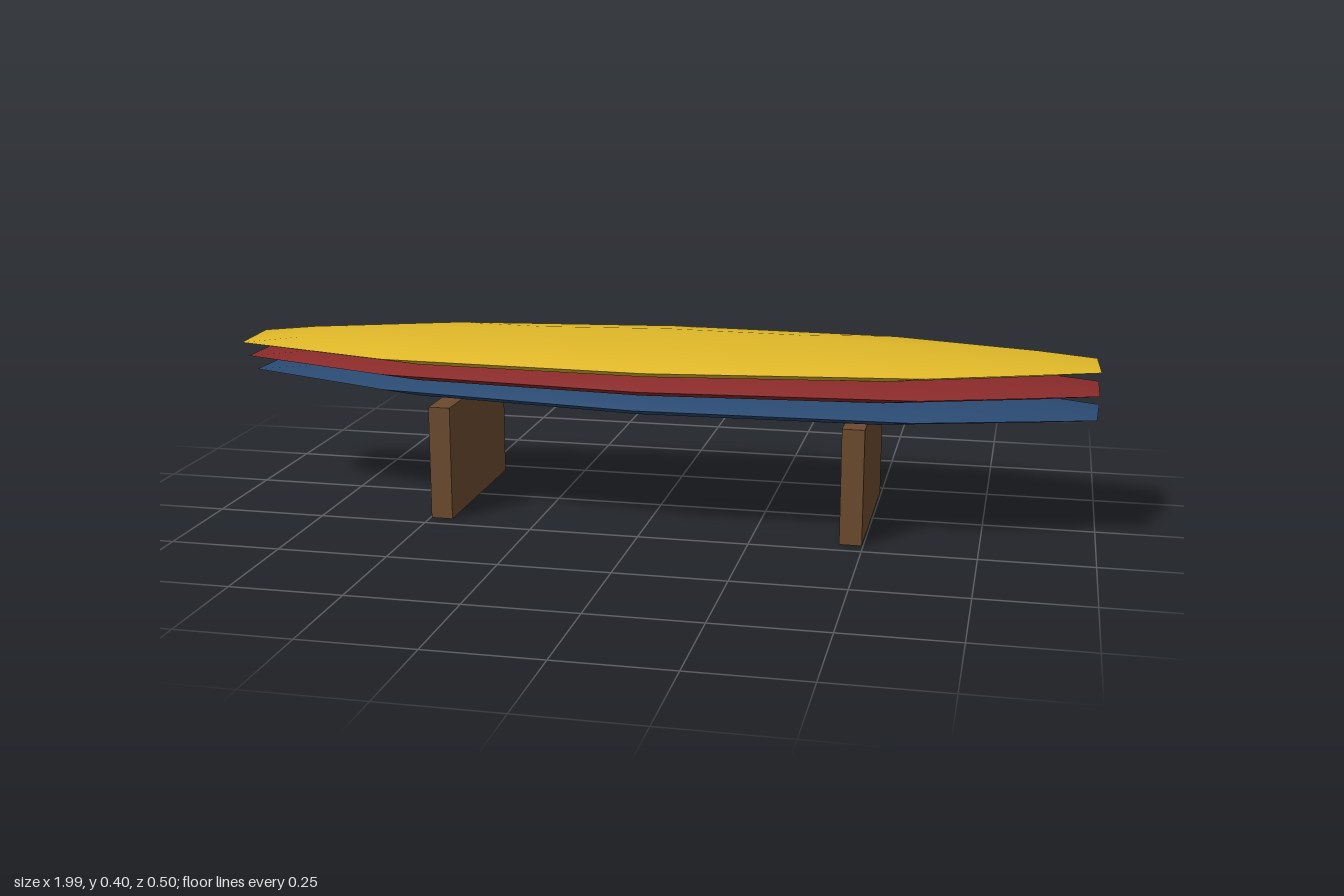
import * as THREE from 'three';
import { toCreasedNormals } from 'three/addons/utils/BufferGeometryUtils.js';

const material = (name, color) => {
  const m = new THREE.MeshStandardMaterial({ color });
  m.name = name;
  return m;
};

export function createModel() {
  const model = new THREE.Group();
  model.name = 'stackedBoards';

  const wood = material('brown wood', 0x6b4a2e);
  const blue = material('blue', 0x2a4a72);
  const red = material('red', 0x8a2a2a);
  const yellow = material('yellow', 0xe0b828);

  // Low-poly lens hull: a flattened sphere with a sharp rim
  let hull = new THREE.SphereGeometry(1, 10, 6);
  hull.rotateY(Math.PI / 2);
  hull.scale(1.042, 0.03, 0.248);
  hull = toCreasedNormals(hull, 0.8);

  // Three hulls stacked and fanned around the vertical axis
  [['lowerBoard', blue], ['middleBoard', red], ['upperBoard', yellow]].forEach(([name, mat], i) => {
    const board = new THREE.Mesh(hull, mat);
    board.name = name;
    board.position.y = 0.289 + i * 0.0425;
    board.rotation.y = (i - 1) * 0.047;
    model.add(board);
  });

  // Two upright support planks
  const plank = new THREE.BoxGeometry(0.05, 0.263, 0.42);
  for (const side of [-1, 1]) {
    const support = new THREE.Mesh(plank, wood);
    support.name = side > 0 ? 'leftSupport' : 'rightSupport';
    support.position.set(side * 0.472, 0.1315, 0);
    model.add(support);
  }

  return model;
}
